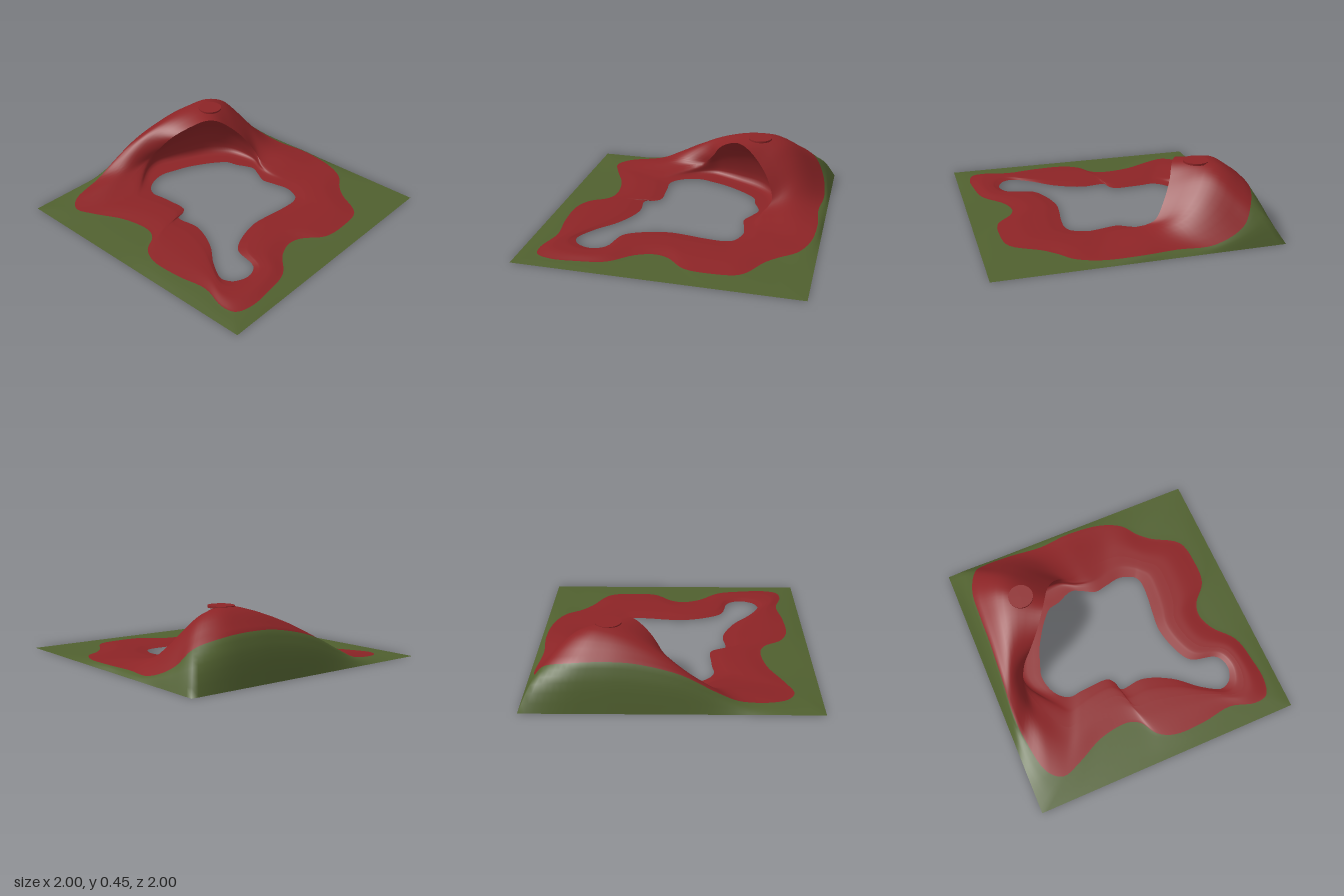
import * as THREE from 'three';

const STEPS = 5; // subdivisions between neighbouring stations around the loop
const grass = new THREE.MeshStandardMaterial({ color: 0x50602f, side: THREE.DoubleSide });
grass.name = 'grass green';
const earth = new THREE.MeshStandardMaterial({ color: 0x8c2426, side: THREE.DoubleSide });
earth.name = 'earth red';

// Outline where grass meets earth: x, y, z per station, from the back right corner round the front
const BORDER = [
  -0.8, 0.24, -0.84, -0.87, 0.3, -0.67, -0.885, 0.32, -0.45, -0.89, 0.31, -0.24,
  -0.91, 0.24, 0.06, -0.93, 0.12, 0.3, -0.92, 0.05, 0.46, -0.86, 0.02, 0.74,
  -0.76, 0.015, 0.82, -0.61, 0.015, 0.77, -0.4, 0.015, 0.67, -0.18, 0.015, 0.64,
  -0.09, 0.015, 0.68, -0.01, 0.015, 0.8, 0.11, 0.015, 0.86, 0.35, 0.015, 0.86,
  0.57, 0.015, 0.83, 0.76, 0.01, 0.88, 0.86, 0.01, 0.86, 0.9, 0.01, 0.75,
  0.89, 0.01, 0.57, 0.85, 0.01, 0.37, 0.72, 0.01, 0.21, 0.675, 0.01, 0.08,
  0.7, 0.01, -0.02, 0.815, 0.01, -0.16, 0.835, 0.01, -0.35, 0.8, 0.01, -0.54,
  0.6, 0.01, -0.67, 0.515, 0.01, -0.75, 0.43, 0.015, -0.86, 0.27, 0.02, -0.935,
  0, 0.03, -0.96, -0.24, 0.03, -0.94, -0.5, 0.04, -0.96, -0.72, 0.13, -0.92,
];

// Edge of the opening in the middle: x, z per station
const SHORE = [
  -0.37, -0.43, -0.43, -0.37, -0.5, -0.27, -0.56, -0.16, -0.6, -0.05, -0.63, 0.06,
  -0.6, 0.19, -0.54, 0.265, -0.48, 0.29, -0.4, 0.28, -0.32, 0.275, -0.18, 0.275,
  -0.14, 0.32, -0.12, 0.385, 0.06, 0.375, 0.27, 0.465, 0.43, 0.6, 0.57, 0.68,
  0.62, 0.67, 0.66, 0.64, 0.695, 0.54, 0.65, 0.44, 0.46, 0.38, 0.39, 0.27,
  0.34, 0.07, 0.35, -0.07, 0.37, -0.21, 0.375, -0.345, 0.355, -0.4, 0.34, -0.415,
  0.235, -0.455, 0.11, -0.435, 0.015, -0.42, -0.075, -0.465, -0.16, -0.5, -0.29, -0.45,
];

// Hill stations: crest, cave lip, foot of the cave wall
const HILL = {
  32: [[0, 0.05, -0.78], [0, 0.04, -0.6], [0.01, 0.02, -0.5]],
  33: [[-0.2, 0.08, -0.74], [-0.13, 0.055, -0.57], [-0.1, 0.02, -0.53]],
  34: [[-0.37, 0.16, -0.76], [-0.21, 0.1, -0.59], [-0.22, 0.02, -0.59]],
  35: [[-0.52, 0.3, -0.71], [-0.29, 0.22, -0.54], [-0.36, 0.02, -0.59]],
  0: [[-0.6, 0.4, -0.63], [-0.36, 0.33, -0.45], [-0.46, 0.02, -0.56]],
  1: [[-0.66, 0.44, -0.53], [-0.41, 0.41, -0.35], [-0.55, 0.02, -0.49]],
  2: [[-0.7, 0.435, -0.41], [-0.46, 0.425, -0.27], [-0.62, 0.02, -0.4]],
  3: [[-0.74, 0.4, -0.24], [-0.55, 0.37, -0.16], [-0.68, 0.02, -0.28]],
  4: [[-0.79, 0.32, -0.05], [-0.64, 0.29, -0.08], [-0.74, 0.02, -0.15]],
  5: [[-0.83, 0.2, 0.12], [-0.72, 0.19, -0.02], [-0.78, 0.02, -0.03]],
  6: [[-0.82, 0.09, 0.29], [-0.77, 0.095, 0.08], [-0.75, 0.02, 0.1]],
  7: [[-0.77, 0.05, 0.5], [-0.7, 0.045, 0.35], [-0.6, 0.02, 0.29]],
};

const COUNT = BORDER.length / 3;
const V = (p) => new THREE.Vector3(...p);
const spline = (points, closed) => new THREE.CatmullRomCurve3(points, closed, 'centripetal');

// Smooth closed loop through one point per station
function smoothLoop(points) {
  const curve = spline(points, true);
  return Array.from({ length: COUNT * STEPS }, (_, i) => curve.getPoint(i / (COUNT * STEPS)));
}

// Square rim, with its corners at four of the stations
function squareLoop() {
  const marks = [0, 8, 18, 28, 36];
  const corners = [[-1, -1], [-1, 1], [1, 1], [1, -1], [-1, -1]];
  const loop = [];
  for (let s = 0; s < 4; s++) {
    const n = (marks[s + 1] - marks[s]) * STEPS;
    for (let i = 0; i < n; i++) {
      const [a, b] = [corners[s], corners[s + 1]];
      loop.push(V([a[0] + (b[0] - a[0]) * i / n, 0, a[1] + (b[1] - a[1]) * i / n]));
    }
  }
  return loop;
}

// Rows of points running smoothly across a set of loops
function across(loops, rows) {
  const n = loops[0].length;
  const result = Array.from({ length: rows + 1 }, () => []);
  for (let i = 0; i < n; i++) {
    const curve = spline(loops.map((l) => l[i]), false);
    for (let r = 0; r <= rows; r++) result[r].push(curve.getPoint(r / rows));
  }
  return result;
}

// Closed skin over rows of points, outermost first
function skin(rows) {
  const n = rows[0].length;
  const index = [];
  for (let r = 0; r < rows.length - 1; r++) {
    for (let i = 0; i < n; i++) {
      const j = (i + 1) % n;
      const [a, b, c, d] = [r * n + i, r * n + j, (r + 1) * n + i, (r + 1) * n + j];
      index.push(a, b, c, b, d, c);
    }
  }
  const geometry = new THREE.BufferGeometry().setFromPoints(rows.flat());
  geometry.setIndex(index);
  geometry.computeVertexNormals();
  return geometry;
}

export function createModel() {
  const group = new THREE.Group();
  group.name = 'terrain';

  // Section points at every station
  const border = [], crest = [], lip = [], wall = [], foot = [], shore = [];
  for (let i = 0; i < COUNT; i++) {
    const b = V(BORDER.slice(i * 3, i * 3 + 3));
    const s = V([SHORE[i * 2], 0.01, SHORE[i * 2 + 1]]);
    const flat = (t, y) => b.clone().lerp(s, t).setY(y);
    const [c, l, f] = HILL[i] ? HILL[i].map(V) : [flat(0.35, 0.025), flat(0.6, 0.025), flat(0.85, 0.018)];
    border.push(b);
    crest.push(c);
    lip.push(l);
    foot.push(f);
    wall.push(l.clone().lerp(f, 0.72).setY(f.y + (l.y - f.y) * 0.55));
    shore.push(s);
  }
  const rim = squareLoop();
  const borderLoop = smoothLoop(border);
  const lipLoop = smoothLoop(lip);
  // Grass bank bulges slightly outwards
  const bank = borderLoop.map((p, i) => {
    const q = rim[i].clone().lerp(p, 0.5);
    return q.setY(p.y * 0.64);
  });

  // Grass border and earth slope share one smooth surface
  const grassRows = across([rim, bank, borderLoop], 6);
  const slopeRows = across([borderLoop, smoothLoop(crest), lipLoop], 10);
  const slope = skin([...grassRows, ...slopeRows.slice(1)]);
  const perRow = COUNT * STEPS * 6;
  slope.addGroup(0, 6 * perRow, 0);
  slope.addGroup(6 * perRow, 10 * perRow, 1);
  const ground = new THREE.Mesh(slope, [grass, earth]);
  ground.name = 'grassBorderAndHillside';
  group.add(ground);

  // Hollow under the lip, running down to the shore
  const hollow = across([lipLoop, smoothLoop(wall), smoothLoop(foot), smoothLoop(shore)], 12);
  const cave = new THREE.Mesh(skin(hollow), earth);
  cave.name = 'caveAndShore';
  group.add(cave);

  // Low round platform on the summit
  const platform = new THREE.Mesh(new THREE.CylinderGeometry(0.09, 0.09, 0.014, 32), earth);
  platform.name = 'summitPlatform';
  platform.position.set(-0.56, 0.443, -0.43);
  group.add(platform);

  return group;
}
